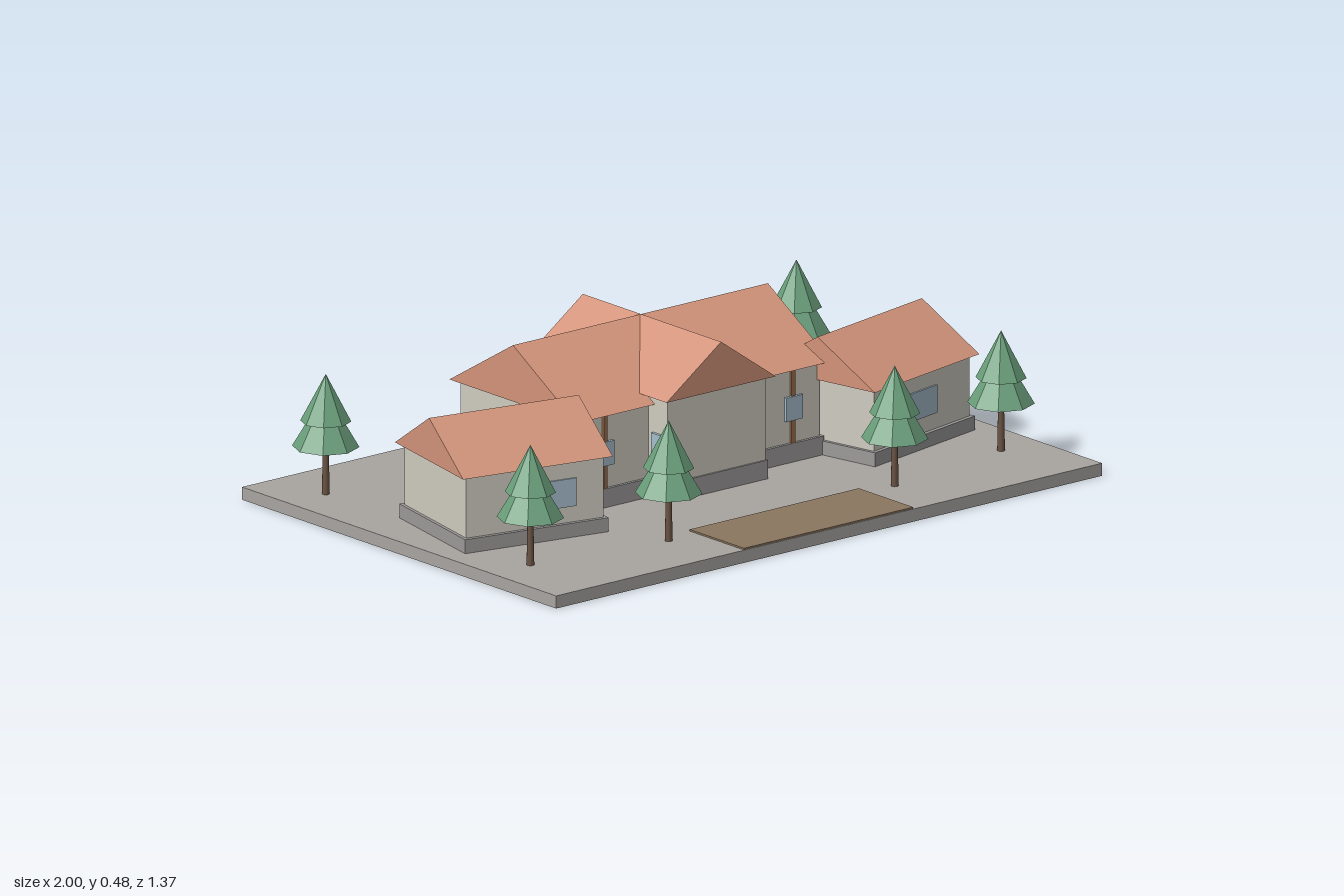
import * as THREE from 'three';

const paint = (name, color) => {
  const m = new THREE.MeshStandardMaterial({ color });
  m.name = name;
  return m;
};

export function createModel() {
  const model = new THREE.Group();
  model.name = 'house';
  const paving = paint('paving grey', 0xa8a5a1);
  const stone = paint('plinth grey', 0x9d9b9a);
  const wall = paint('wall cream', 0xcfccc0);
  const tile = paint('roof terracotta', 0xd2937a);
  const glass = paint('window blue', 0xa6bccb);
  const wood = paint('post brown', 0x9a6d4c);
  const earth = paint('path brown', 0x8b7660);
  const bark = paint('trunk brown', 0x6b5444);
  const needles = paint('needle green', 0x6a9f7b);
  needles.flatShading = true;

  const add = (parent, name, geometry, material) => {
    const mesh = new THREE.Mesh(geometry, material);
    mesh.name = name;
    parent.add(mesh);
    return mesh;
  };

  // Box given by its x, y and z limits
  const box = (parent, name, material, [x0, x1], [y0, y1], [z0, z1]) => {
    const g = new THREE.BoxGeometry(x1 - x0, y1 - y0, z1 - z0);
    g.translate((x0 + x1) / 2, (y0 + y1) / 2, (z0 + z1) / 2);
    return add(parent, name, g, material);
  };

  // Solid gable roof with its ridge along z, centred on the origin
  const gable = (parent, name, width, length, eave, ridge) => {
    const s = new THREE.Shape();
    s.moveTo(-width / 2, eave);
    s.lineTo(width / 2, eave);
    s.lineTo(0, ridge);
    s.closePath();
    const g = new THREE.ExtrudeGeometry(s, { depth: length, bevelEnabled: false });
    g.translate(0, 0, -length / 2);
    return add(parent, name, g, tile);
  };

  // Ground slab and path
  const G = 0.037;
  box(model, 'groundSlab', paving, [-1, 1], [0, G], [-0.687, 0.687]);
  box(model, 'path', earth, [-0.31, 0.31], [G, G + 0.005], [0.447, 0.685]);

  // Main hall
  box(model, 'hallPlinth', stone, [-0.455, 0.455], [G, 0.092], [-0.397, 0.122]);
  box(model, 'hallWalls', wall, [-0.445, 0.445], [0.092, 0.312], [-0.393, 0.113]);
  const hallRoof = gable(model, 'hallRoof', 0.556, 0.934, 0.312, 0.477);
  hallRoof.rotation.y = Math.PI / 2;
  hallRoof.position.z = -0.138;

  // Central projecting bay with a cross gable
  box(model, 'bayPlinth', stone, [-0.185, 0.185], [G, 0.092], [0.1, 0.2]);
  box(model, 'bayWalls', wall, [-0.18, 0.18], [0.092, 0.338], [-0.37, 0.195]);
  const bayRoof = gable(model, 'bayRoof', 0.4, 0.605, 0.338, 0.478);
  bayRoof.position.z = -0.0875;

  for (const s of [-1, 1]) {
    const side = s > 0 ? 'left' : 'right';
    const span = (a, b) => (s > 0 ? [a, b] : [-b, -a]);

    // Posts and windows beside the bay
    box(model, side + 'Post', wood, span(0.337, 0.351), [0.092, 0.312], [0.108, 0.121]);
    box(model, side + 'HallWindow', glass, span(0.315, 0.375), [0.16, 0.23], [0.116, 0.125]);
    box(model, side + 'BayWindow', glass, span(0.181, 0.19), [0.155, 0.23], [0.135, 0.175]);

    // Angled wing
    const wing = new THREE.Group();
    wing.name = side + 'Wing';
    wing.position.set(s * 0.67, 0, 0.065);
    wing.rotation.y = s * THREE.MathUtils.degToRad(12);
    model.add(wing);
    box(wing, 'wingPlinth', stone, [-0.228, 0.228], [G, 0.078], [-0.197, 0.197]);
    box(wing, 'wingWalls', wall, [-0.218, 0.218], [0.078, 0.258], [-0.185, 0.185]);
    box(wing, 'wingWindow', glass, span(-0.13, 0.065), [0.125, 0.207], [0.184, 0.19]);
    gable(wing, 'wingRoof', 0.409, 0.476, 0.258, 0.384).rotation.y = Math.PI / 2;

    // Conifers
    for (const [x, z] of [[0.862, -0.485], [0.862, 0.41], [0.414, 0.48]]) {
      const tree = new THREE.Group();
      tree.name = 'tree';
      tree.position.set(s * x, 0, z);
      model.add(tree);
      add(tree, 'trunk', new THREE.CylinderGeometry(0.008, 0.011, 0.16, 8), bark).position.y = G + 0.08;
      add(tree, 'lowerFoliage', new THREE.ConeGeometry(0.095, 0.16, 8), needles).position.y = 0.257;
      add(tree, 'upperFoliage', new THREE.ConeGeometry(0.072, 0.138, 8), needles).position.y = 0.32;
    }
  }
  return model;
}
